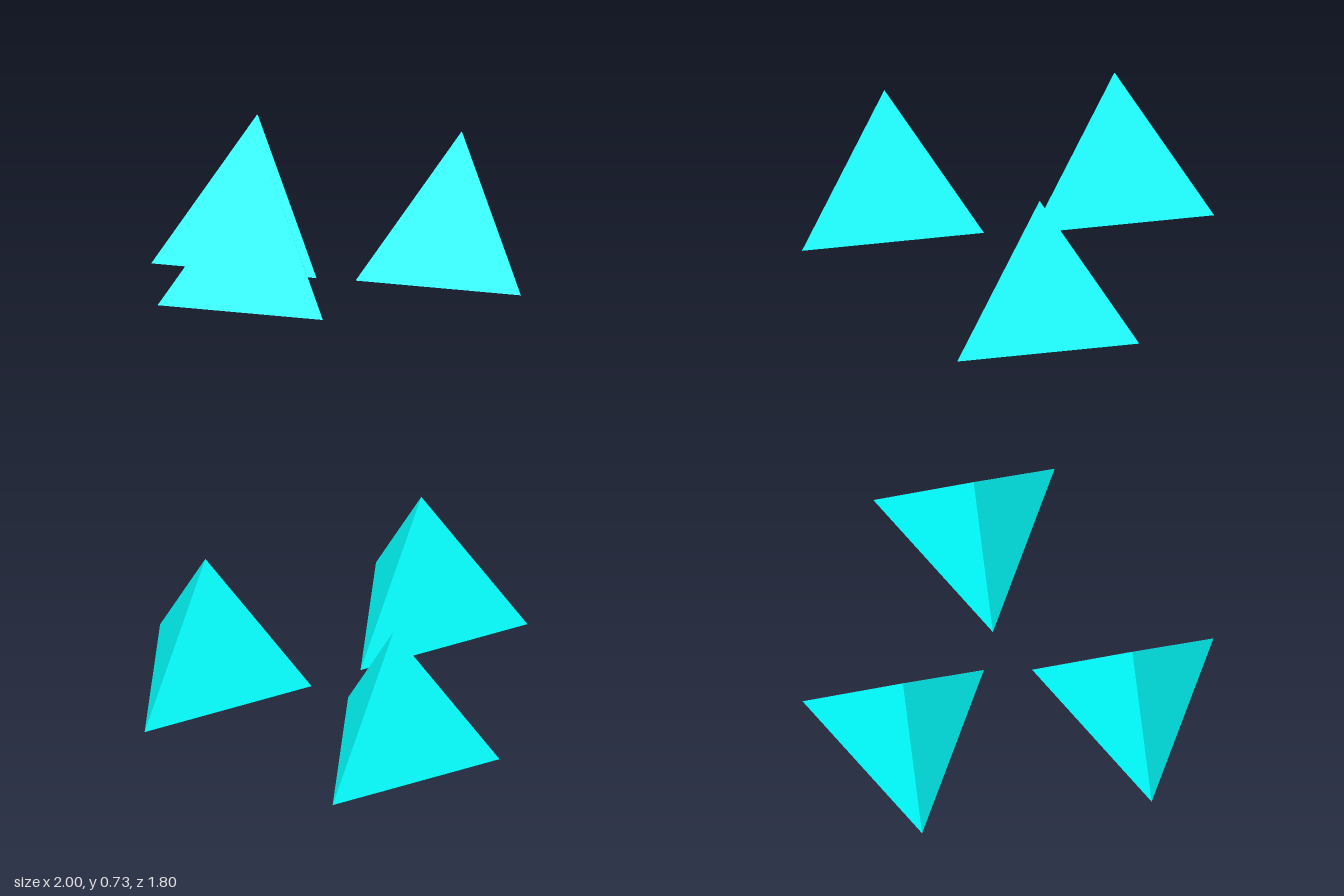
import * as THREE from 'three';
import { ConvexGeometry } from 'three/addons/geometries/ConvexGeometry.js';

const EDGE = 0.9;
const HEIGHT = EDGE * Math.sqrt(2 / 3);
const INNER = EDGE / (2 * Math.sqrt(3));

// Corners of one regular tetrahedron standing on its base, with a flat face to the front
const A = new THREE.Vector3(-EDGE / 2, 0, INNER);
const B = new THREE.Vector3(EDGE / 2, 0, INNER);
const C = new THREE.Vector3(0, 0, -2 * INNER);
const D = new THREE.Vector3(0, HEIGHT, 0);

// Average of any corners: edge midpoint, face centre or body centre
const mid = (...p) => p.reduce((s, v) => s.add(v), new THREE.Vector3()).divideScalar(p.length);

// Solid from planar polygons, each fanned from its first point
function polySolid(faces) {
  const tris = faces.flatMap((f) =>
    f.slice(2).flatMap((p, i) => [f[0], f[i + 1], p]));
  const geo = new THREE.BufferGeometry().setFromPoints(tris);
  geo.computeVertexNormals();
  return geo;
}

export function createModel() {
  const model = new THREE.Group();
  const material = new THREE.MeshStandardMaterial({ color: 0x00ffff, flatShading: true });

  const addPyramid = (name, x, z, pieces) => {
    const group = new THREE.Group();
    group.name = name;
    group.position.set(x, 0, z);
    for (const [pieceName, geometry] of Object.entries(pieces)) {
      const mesh = new THREE.Mesh(geometry, material);
      mesh.name = pieceName;
      group.add(mesh);
    }
    model.add(group);
  };

  // Front pyramid: small tip on a truncated base, split at half height
  const ring = [A, B, C].map((v) => mid(v, D));
  addPyramid('frontPyramid', -0.02, 0.64, {
    tip: new ConvexGeometry([D, ...ring]),
    truncatedBase: new ConvexGeometry([A, B, C, ...ring]),
  });

  // Left-hand rear pyramid (+x): two equal wedges meeting on a square section
  const square = [mid(A, D), mid(B, D), mid(A, C), mid(B, C)];
  addPyramid('leftRearPyramid', 0.55, -0.385, {
    frontWedge: new ConvexGeometry([A, B, ...square]),
    rearWedge: new ConvexGeometry([C, D, ...square]),
  });

  // Right-hand rear pyramid (-x): a corner block at the top nested in the body
  const centre = mid(A, B, C, D);
  const sides = [[A, B], [B, C], [C, A]];
  const bodyFaces = [[A, C, B]];
  sides.forEach(([p, q], i) => {
    const face = mid(p, q, D);
    const next = sides[(i + 1) % 3];
    bodyFaces.push([face, mid(p, D), p, q, mid(q, D)]);
    bodyFaces.push([centre, face, mid(q, D), mid(...next, D)]);
  });
  addPyramid('rightRearPyramid', -0.55, -0.36, {
    cornerBlock: new ConvexGeometry([
      D, centre, ...ring, ...sides.map((s) => mid(...s, D)),
    ]),
    body: polySolid(bodyFaces),
  });

  return model;
}
